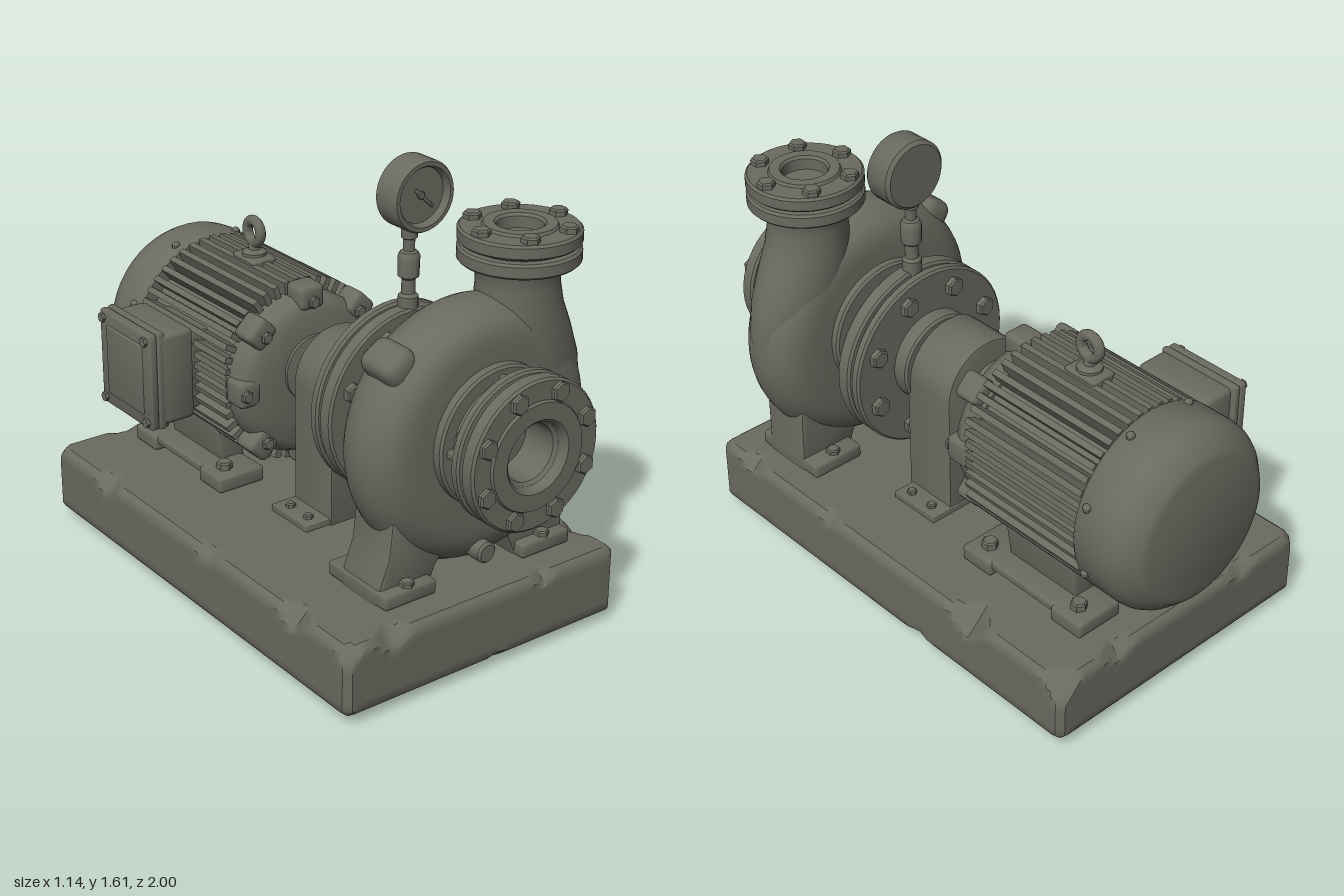
import * as THREE from 'three';
import { toCreasedNormals } from 'three/addons/utils/BufferGeometryUtils.js';
import { RoundedBoxGeometry } from 'three/addons/geometries/RoundedBoxGeometry.js';

const metal = new THREE.MeshStandardMaterial({ color: 0x6b6a60 });
metal.name = 'weathered grey';
const V = (x, y) => new THREE.Vector2(x, y);

export function createModel() {
  const model = new THREE.Group();
  const add = (name, geo, x = 0, y = 0, z = 0, parent = model) => {
    const m = new THREE.Mesh(toCreasedNormals(geo, 0.6), metal);
    m.name = name;
    m.position.set(x, y, z);
    parent.add(m);
    return m;
  };
  const box = (name, w, h, d, x, y, z, r = 0.012) =>
    add(name, new RoundedBoxGeometry(w, h, d, 2, Math.min(r, w / 2.1, h / 2.1, d / 2.1)), x, y, z);
  // turned part along z; points are [radius, z]
  const turnZ = (name, pts, x, y, seg = 48) =>
    add(name, new THREE.LatheGeometry(pts.map(p => V(...p)), seg).rotateX(Math.PI / 2), x, y, 0);
  // turned part along y; points are [radius, y]
  const turnY = (name, pts, x, z, seg = 40) =>
    add(name, new THREE.LatheGeometry(pts.map(p => V(...p)), seg), x, 0, z);
  // bevelled disc profile
  const disc = (r, a, b, e = 0.008) => [[0, a], [r - e, a], [r, a + e], [r, b - e], [r - e, b], [0, b]];
  // circle of bolts around an axis along z
  const boltsZ = (name, n, R, r, a, b, x, y, off = 0.5) => {
    for (let i = 0; i < n; i++) {
      const t = (i + off) / n * Math.PI * 2;
      turnZ(name, disc(r, a, b, 0.006), x + R * Math.cos(t), y + R * Math.sin(t), 6);
    }
  };
  const extrudeZ = (name, pts, a, b, bevel = 0.012) =>
    add(name, new THREE.ExtrudeGeometry(new THREE.Shape(pts.map(p => V(...p))), {
      depth: b - a - 2 * bevel, bevelSize: bevel, bevelThickness: bevel, bevelOffset: -bevel, bevelSegments: 2,
    }), 0, 0, a + bevel);

  // chipped stone-like base: planes cut the corners, notches cut the edges
  const base = new THREE.BoxGeometry(1.145, 0.255, 1.8, 50, 10, 80);
  const corners = [[1, 1, 1, 0.05], [-1, 1, 1, 0.09], [1, 1, -1, 0.12], [-1, 1, -1, 0.06],
    [1, -1, 1, 0.04], [-1, -1, 1, 0.05], [1, -1, -1, 0.05], [-1, -1, -1, 0.04]];
  // [side axis x or z, side sign, position along edge, depth, slope, up sign]
  const notches = [['x', 1, -0.45, 0.1, 0.8, 1], ['x', 1, 0.28, 0.05, 0.7, 1], ['x', 1, -0.2, 0.04, 0.3, -1],
    ['x', 1, 0.72, 0.06, 0.5, 1], ['x', -1, -0.55, 0.07, 0.6, 1], ['x', -1, 0.1, 0.05, 0.4, 1],
    ['x', -1, 0.6, 0.08, 0.7, 1], ['z', 1, -0.38, 0.07, 0.6, 1], ['z', 1, 0.25, 0.05, 0.6, 1],
    ['z', 1, 0.05, 0.03, 0.3, -1], ['z', -1, 0.3, 0.06, 0.5, 1], ['z', -1, -0.3, 0.05, 0.4, 1]];
  const half = { x: 0.5725, y: 0.1275, z: 0.9 };
  const bp = base.attributes.position, v = new THREE.Vector3();
  for (let i = 0; i < bp.count; i++) {
    v.fromBufferAttribute(bp, i);
    const edge = (a, sa, b, sb, cut) => {
      const e = sa * v[a] + sb * v[b] - (half[a] + half[b] - cut);
      if (e > 0) { v[a] -= sa * e / 2; v[b] -= sb * e / 2; }
    };
    for (const s of [-1, 1]) for (const t of [-1, 1]) {
      edge('x', s, 'y', t, 0.02); edge('z', s, 'y', t, 0.02); edge('x', s, 'z', t, 0.025);
    }
    for (const [a, s, at, d, k, up] of notches) edge(a, s, 'y', up, d - k * Math.abs(v[a === 'x' ? 'z' : 'x'] - at));
    for (const [sx, sy, sz, d] of corners) {
      const e = (sx * v.x + sy * v.y + sz * v.z - (1.6 - d)) / 3;
      if (e > 0) { v.x -= sx * e; v.y -= sy * e; v.z -= sz * e; }
    }
    bp.setXYZ(i, v.x, v.y, v.z);
  }
  base.deleteAttribute('normal');
  add('base', base, -0.002, 0.157, -0.01);
  for (const x of [-0.46, 0.46]) for (const z of [-0.79, 0.78]) turnY('baseFoot', disc(0.04, 0, 0.05), x, z, 12);

  // volute casing: a turned section whose outer radius grows along the spiral
  const cx = 0.096, cy = 0.8;
  const sec = [[0, 0.48], [0.2, 0.485]];
  for (let i = 0; i <= 16; i++) {
    const t = -Math.PI / 2 + Math.PI * i / 16;
    sec.push([0.3 + 0.15 * Math.cos(t) ** 0.8, 0.63 + 0.142 * Math.sin(t)]);
  }
  sec.push([0.2, 0.775], [0, 0.78]);
  const vol = new THREE.LatheGeometry(sec.map(p => V(...p)), 72).rotateX(Math.PI / 2);
  const vp = vol.attributes.position;
  for (let i = 0; i < vp.count; i++) {
    const x = vp.getX(i), y = vp.getY(i), r = Math.hypot(x, y);
    if (r < 0.2) continue;
    const t = Math.atan2(y, x), R = 0.457 - 0.032 * Math.sin(t) + 0.006 * Math.cos(t);
    const k = 1 + (R - 0.45) * Math.min(1, (r - 0.2) / 0.25) / r;
    vp.setXY(i, x * k, y * k);
  }
  add('voluteCasing', vol, cx, cy);
  const lug = box('casingLug', 0.13, 0.11, 0.17, -0.215, 1.075, 0.63, 0.04);
  lug.rotation.z = 0.6;

  // discharge neck, lofted upward from the side of the volute: [y, centre x, half width, half depth]
  const rings = [[0.72, 0.385, 0.165, 0.09], [0.84, 0.37, 0.192, 0.128], [0.96, 0.35, 0.192, 0.14], [1.08, 0.325, 0.172, 0.142],
    [1.16, 0.308, 0.154, 0.14], [1.24, 0.303, 0.139, 0.137], [1.29, 0.303, 0.142, 0.14], [1.33, 0.303, 0.16, 0.16]];
  const N = 36, pos = [], idx = [];
  rings.forEach(([y, x, a, b], i) => {
    for (let j = 0; j < N; j++) {
      const t = j / N * Math.PI * 2;
      pos.push(x + a * Math.cos(t), y, 0.633 - b * Math.sin(t));
      if (i) {
        const q = i * N + j, p = q - N, q1 = i * N + (j + 1) % N, p1 = q1 - N;
        idx.push(p, p1, q, p1, q1, q);
      }
    }
  });
  const neck = new THREE.BufferGeometry();
  neck.setAttribute('position', new THREE.Float32BufferAttribute(pos, 3));
  neck.setIndex(idx);
  neck.computeVertexNormals();
  add('dischargeNeck', neck);
  turnY('dischargeLowerFlange', disc(0.203, 1.31, 1.362), 0.303, 0.635);
  turnY('dischargeGasket', disc(0.17, 1.355, 1.385), 0.303, 0.635);
  turnY('dischargeUpperFlange', [[0, 1.374], [0.195, 1.374], [0.203, 1.382], [0.203, 1.417], [0.195, 1.425],
    [0.125, 1.425], [0.12, 1.435], [0.085, 1.435], [0.078, 1.425], [0.078, 1.376], [0, 1.376]], 0.303, 0.635);
  for (let i = 0; i < 6; i++) {
    const t = i * Math.PI / 3, x = 0.303 + 0.163 * Math.cos(t), z = 0.635 + 0.163 * Math.sin(t);
    turnY('dischargeBolt', disc(0.032, 1.415, 1.447, 0.006), x, z, 6);
  }

  // suction inlet with an open bore
  turnZ('casingCover', disc(0.245, 0.765, 0.81), cx, cy);
  turnZ('suctionInlet', [[0.2, 0.79], [0.19, 0.83], [0.185, 0.87], [0.254, 0.875], [0.262, 0.883], [0.262, 0.905], [0.254, 0.912],
    [0.23, 0.914], [0.23, 0.925], [0.254, 0.926], [0.262, 0.934], [0.262, 0.975], [0.254, 0.983], [0.19, 0.983],
    [0.185, 0.992], [0.128, 0.992], [0.118, 0.983], [0.112, 0.96], [0.1, 0.95], [0.1, 0.82], [0, 0.82]], cx, cy);
  boltsZ('suctionBolt', 8, 0.22, 0.036, 0.97, 1.0, cx, cy);
  boltsZ('suctionNut', 8, 0.22, 0.032, 0.86, 0.88, cx, cy);
  for (let i = 0; i < 4; i++) {
    const t = i * Math.PI / 2, rib = box('inletRib', 0.06, 0.03, 0.09, cx + 0.19 * Math.cos(t), cy + 0.19 * Math.sin(t), 0.84);
    rib.rotation.z = t;
  }
  turnZ('drainPlug', disc(0.038, 0.68, 0.8), 0.07, 0.38, 16);
  turnZ('rearPlug', disc(0.036, 0.455, 0.56), 0.07, 0.38, 16);

  // casing legs with foot pads
  extrudeZ('rightLeg', [[-0.33, 0.285], [-0.12, 0.285], [-0.09, 0.36], [0, 0.46], [-0.08, 0.62], [-0.27, 0.58], [-0.285, 0.44], [-0.32, 0.35]], 0.53, 0.73);
  extrudeZ('leftLeg', [[0.25, 0.285], [0.46, 0.285], [0.46, 0.5], [0.44, 0.62], [0.28, 0.62], [0.16, 0.46], [0.22, 0.36]], 0.53, 0.73);
  for (const x of [-0.225, 0.355]) {
    box('footPad', 0.21, 0.055, 0.31, x, 0.31, 0.617);
    for (const z of [0.495, 0.745]) turnY('footBolt', disc(0.026, 0.33, 0.355, 0.005), x, z, 6);
  }

  // bearing housing and its rear flange pair
  turnZ('rearCover', disc(0.245, 0.455, 0.5), cx, 0.795);
  turnZ('bearingHousing', disc(0.17, 0.19, 0.48), 0.085, 0.77);
  turnZ('housingFlangeFront', disc(0.335, 0.302, 0.362), 0.085, 0.76);
  turnZ('housingGasket', disc(0.31, 0.28, 0.31), 0.085, 0.76);
  turnZ('housingFlangeRear', disc(0.335, 0.25, 0.29), 0.085, 0.76);
  boltsZ('housingBolt', 8, 0.265, 0.036, 0.225, 0.388, 0.085, 0.76);

  // pressure gauge: recessed dial, stem and fittings
  turnZ('gaugeCase', [[0, 0.268], [0.112, 0.268], [0.124, 0.28], [0.124, 0.37], [0.118, 0.38], [0.104, 0.38],
    [0.098, 0.372], [0.096, 0.352], [0, 0.352]], 0.12, 1.482, 40);
  const needle = box('gaugeNeedle', 0.1, 0.012, 0.008, 0.135, 1.468, 0.354, 0.002);
  needle.rotation.z = -0.75;
  turnZ('gaugeHub', disc(0.014, 0.35, 0.362, 0.003), 0.12, 1.482, 12);
  turnY('gaugeStem', [[0.035, 1.05], [0.035, 1.13], [0.024, 1.14], [0.024, 1.19], [0.036, 1.2], [0.038, 1.27], [0.03, 1.285],
    [0.02, 1.29], [0.02, 1.33], [0.028, 1.335], [0.028, 1.375]], 0.1, 0.325, 12);

  // coupling guard with rounded top
  const arch = [[-0.125, 0.285]];
  for (let i = 0; i <= 20; i++) {
    const t = Math.PI - Math.PI * i / 20;
    arch.push([0.055 + 0.18 * Math.cos(t), 0.745 + 0.18 * Math.sin(t)]);
  }
  arch.push([0.235, 0.285]);
  extrudeZ('couplingGuard', arch.reverse(), -0.01, 0.205, 0.005);
  box('guardFlange', 0.545, 0.025, 0.21, 0.048, 0.297, 0.09, 0.005);
  for (const x of [-0.18, 0.28]) for (const z of [0.04, 0.145]) turnY('guardBolt', disc(0.018, 0.3, 0.325, 0.005), x, z, 6);

  // motor: shaft, end bell, finned body and fan cowl
  const mx = 0.034, my = 0.69;
  turnZ('shaftCoupling', [[0, -0.13], [0.125, -0.13], [0.125, -0.1], [0.09, -0.095], [0.09, -0.07], [0.108, -0.065], [0.108, 0.01], [0, 0.01]], mx, 0.73, 32);
  turnZ('motorEndBell', [[0, -0.23], [0.298, -0.23], [0.298, -0.17], [0.28, -0.135], [0.25, -0.118], [0.15, -0.112], [0, -0.112]], mx, my);
  for (let i = 0; i < 8; i++) {
    const t = i * Math.PI / 4, r = i % 4 ? 0.3 : 0.265;
    const l = box('endBellLug', 0.09, 0.1, 0.1, mx + r * Math.cos(t), my + r * Math.sin(t), -0.165, 0.02);
    l.rotation.z = t;
  }
  boltsZ('endBellBolt', 8, 0.285, 0.024, -0.125, -0.102, mx, my, 0);
  turnZ('motorCore', disc(0.285, -0.78, -0.2), mx, my);
  const fins = 46;
  for (let i = 0; i < fins; i++) {
    const t = (i + 0.5) / fins * Math.PI * 2;
    const out = Math.min(0.343, 0.308 / Math.max(0.01, Math.abs(Math.cos(t))));
    const f = add('coolingFin', new THREE.BoxGeometry(out - 0.25, 0.022, 0.54),
      mx + (out + 0.25) / 2 * Math.cos(t), my + (out + 0.25) / 2 * Math.sin(t), -0.48);
    f.rotation.z = t;
  }
  box('topPad', 0.1, 0.04, 0.14, mx, 1.025, -0.475);
  turnZ('fanCowl', [[0, -1], [0.255, -1], [0.28, -0.992], [0.325, -0.945], [0.34, -0.915], [0.345, -0.88], [0.345, -0.765], [0.335, -0.75], [0, -0.75]], mx, my);
  for (let i = 0; i < 8; i++) {
    const t = (i + 0.5) * Math.PI / 4;
    add('cowlScrew', new THREE.SphereGeometry(0.016, 10, 8), mx + 0.345 * Math.cos(t), my + 0.345 * Math.sin(t), -0.79);
  }

  // lifting eye
  turnY('eyeBoltCollar', [[0.045, 1.03], [0.045, 1.055], [0.022, 1.065], [0.02, 1.085]], mx, -0.475, 16);
  add('liftingEye', new THREE.TorusGeometry(0.041, 0.019, 12, 28).rotateY(Math.PI / 2), mx, 1.13, -0.475);

  // motor feet
  for (const s of [-1, 1]) {
    const x = mx + s * 0.2;
    const web = box('motorFootWeb', 0.1, 0.25, 0.32, x, 0.41, -0.515);
    web.rotation.z = -s * 0.15;
    box('motorFootRail', 0.17, 0.035, 0.54, x + s * 0.04, 0.325, -0.505);
    for (const z of [-0.29, -0.72]) {
      box('motorFootPad', 0.19, 0.06, 0.14, x + s * 0.04, 0.312, z);
      turnY('motorFootBolt', disc(0.03, 0.335, 0.37, 0.006), x + s * 0.07, z, 6);
    }
  }

  // terminal box on the right side
  box('terminalNeck', 0.22, 0.3, 0.27, -0.31, 0.69, -0.545, 0.02);
  box('terminalBody', 0.14, 0.345, 0.32, -0.36, 0.695, -0.545, 0.02);
  box('terminalRim', 0.028, 0.37, 0.34, -0.423, 0.695, -0.555, 0.01);
  box('terminalLid', 0.035, 0.365, 0.335, -0.455, 0.695, -0.555, 0.012);
  box('lidPanel', 0.02, 0.27, 0.24, -0.468, 0.695, -0.555, 0.009);
  for (const y of [0.54, 0.85]) for (const z of [-0.695, -0.415])
    add('lidScrew', new THREE.CylinderGeometry(0.018, 0.018, 0.02, 6).rotateZ(Math.PI / 2), -0.475, y, z);

  return model;
}
